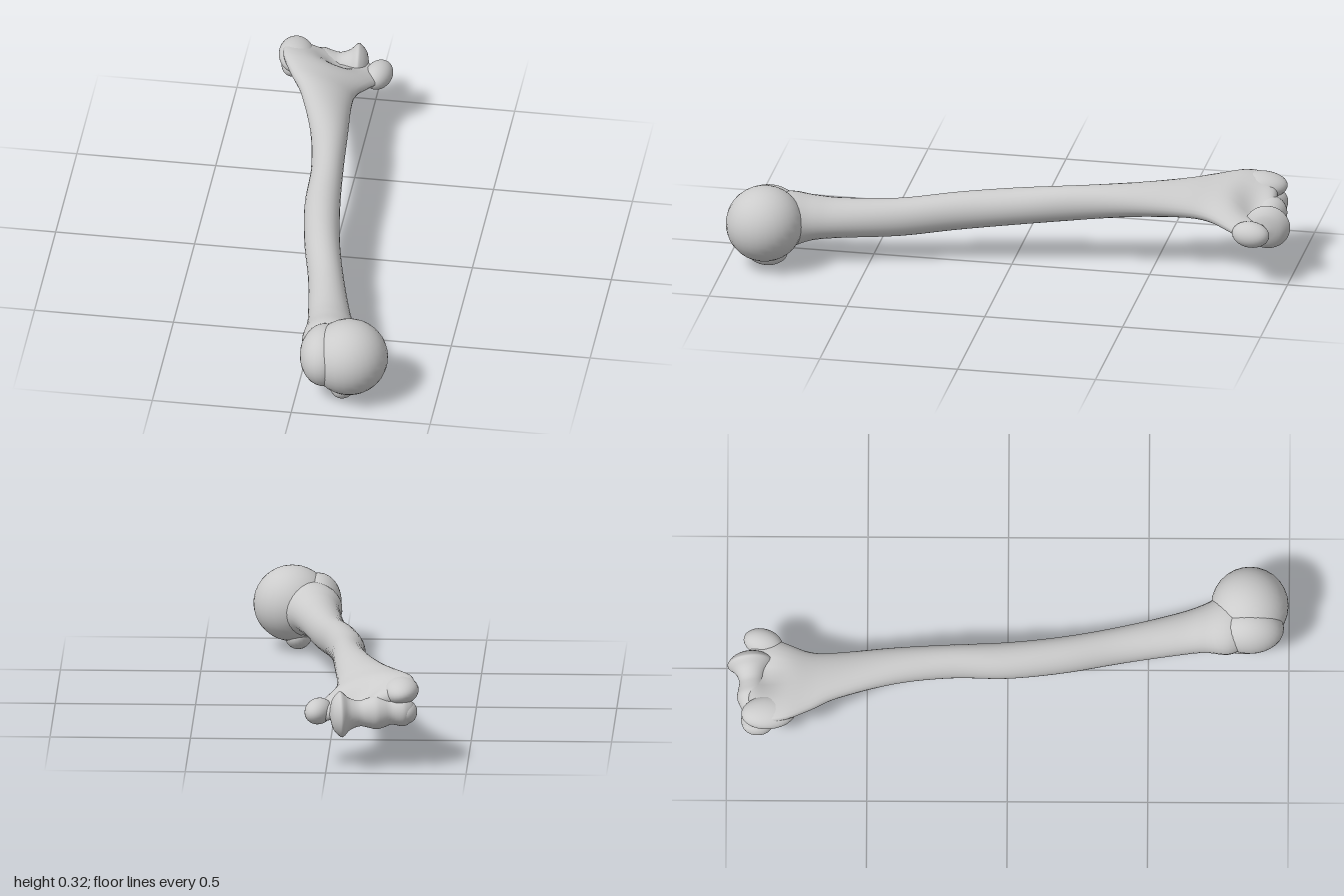
import * as THREE from 'three';

const material = new THREE.MeshStandardMaterial({ color: 0xcccccc });

// Lofts tilted ellipses along -z; each row is [z, x, y, halfWidth, halfHeight, tilt]
function loft(rows, steps, sides, deform) {
  const centre = new THREE.CatmullRomCurve3(rows.map(r => new THREE.Vector3(r[1], r[2], r[0])), false, 'catmullrom', 0.5);
  const size = new THREE.CatmullRomCurve3(rows.map(r => new THREE.Vector3(r[3], r[4], r[5])), false, 'catmullrom', 0.5);
  const positions = [], index = [];
  for (let i = 0; i <= steps; i++) {
    const c = centre.getPoint(i / steps), s = size.getPoint(i / steps);
    for (let j = 0; j < sides; j++) {
      const a = (j / sides) * Math.PI * 2;
      const u = Math.cos(a) * s.x, v = Math.sin(a) * s.y;
      const p = new THREE.Vector3(
        c.x + u * Math.cos(s.z) - v * Math.sin(s.z),
        c.y + u * Math.sin(s.z) + v * Math.cos(s.z), c.z);
      deform(p, v);
      positions.push(p.x, p.y, p.z);
      if (i < steps) {
        const k = i * sides + j, n = i * sides + (j + 1) % sides;
        index.push(k, k + sides, n, n, k + sides, n + sides);
      }
    }
  }
  const geometry = new THREE.BufferGeometry();
  geometry.setAttribute('position', new THREE.Float32BufferAttribute(positions, 3));
  geometry.setIndex(index);
  geometry.computeVertexNormals();
  return geometry;
}

export function createModel() {
  const group = new THREE.Group();
  const add = (name, geometry) => {
    const mesh = new THREE.Mesh(geometry, material);
    mesh.name = name;
    group.add(mesh);
    return mesh;
  };
  const lobe = (name, [x, y, z], [rx, ry, rz], tilt = 0, yaw = 0) => {
    const mesh = add(name, new THREE.SphereGeometry(1, 28, 20));
    mesh.position.set(x, y, z);
    mesh.scale.set(rx, ry, rz);
    mesh.rotation.set(0, yaw, tilt);
  };

  // Curved shaft, flaring into a thin tilted plate with a hollow at the elbow end
  const rows = [
    [0.90, 0.14, 0.16, 0.06, 0.06, 0],
    [0.80, 0.125, 0.16, 0.115, 0.098, -0.1],
    [0.70, 0.10, 0.165, 0.09, 0.078, -0.2],
    [0.60, 0.077, 0.163, 0.077, 0.07, -0.2],
    [0.40, 0.035, 0.165, 0.065, 0.07, -0.2],
    [0.20, -0.01, 0.186, 0.064, 0.07, -0.2],
    [0.00, -0.04, 0.207, 0.064, 0.068, -0.2],
    [-0.20, -0.053, 0.23, 0.058, 0.065, -0.2],
    [-0.40, -0.077, 0.248, 0.068, 0.058, -0.25],
    [-0.60, -0.117, 0.257, 0.094, 0.05, -0.3],
    [-0.70, -0.14, 0.257, 0.124, 0.046, -0.3],
    [-0.79, -0.14, 0.252, 0.168, 0.042, -0.31],
    [-0.86, -0.125, 0.238, 0.19, 0.036, -0.31],
    [-0.91, -0.12, 0.225, 0.165, 0.03, -0.28],
    [-0.93, -0.12, 0.222, 0.002, 0.002, -0.28],
  ];
  add('shaft', loft(rows, 84, 28, (p, v) => {
    const d = ((p.x + 0.11) / 0.065) ** 2 + ((p.z + 0.86) / 0.06) ** 2;
    if (v > 0) p.y -= 0.045 * Math.exp(-d) * Math.min(1, v / 0.02);
  }));

  // Shoulder end: ball and the two tubercles
  lobe('head', [0.187, 0.165, 0.86], [0.139, 0.136, 0.138]);
  lobe('greaterTubercle', [0.1, 0.165, 0.86], [0.088, 0.108, 0.122], 0.1);
  lobe('tubercleRidge', [0.075, 0.1, 0.84], [0.045, 0.045, 0.09]);
  lobe('lesserTubercle', [0.165, 0.052, 0.855], [0.05, 0.052, 0.075], 0.25);

  // Elbow end: grooved spool across the bone
  const profile = [
    [0, -0.145], [0.03, -0.142], [0.05, -0.12], [0.054, -0.1], [0.046, -0.065],
    [0.055, -0.035], [0.06, -0.01], [0.052, 0.02], [0.046, 0.05], [0.058, 0.085],
    [0.08, 0.108], [0.078, 0.122], [0.05, 0.145], [0, 0.155],
  ].map(([r, y]) => new THREE.Vector2(r, y));
  const smooth = new THREE.SplineCurve(profile).getPoints(40);
  smooth.forEach(p => { p.x = Math.max(0, p.x); });
  const spool = add('condyleSpool', new THREE.LatheGeometry(smooth, 32));
  spool.position.set(-0.165, 0.2, -0.905);
  spool.rotation.set(0, 0.1, -Math.PI / 2 - 0.04);

  // Side knobs at the elbow end
  lobe('highEpicondyle', [-0.262, 0.268, -0.85], [0.064, 0.046, 0.098], -0.15, 0.1);
  lobe('lowEpicondyle', [0.03, 0.196, -0.872], [0.048, 0.046, 0.07], -0.2, -0.25);
  lobe('innerCondyle', [-0.282, 0.2, -0.89], [0.04, 0.042, 0.055]);

  // Centre the whole and stand it on the ground
  group.updateMatrixWorld(true);
  const box = new THREE.Box3().setFromObject(group, true);
  const c = box.getCenter(new THREE.Vector3());
  group.children.forEach(m => m.position.sub(new THREE.Vector3(c.x, box.min.y, c.z)));
  return group;
}
